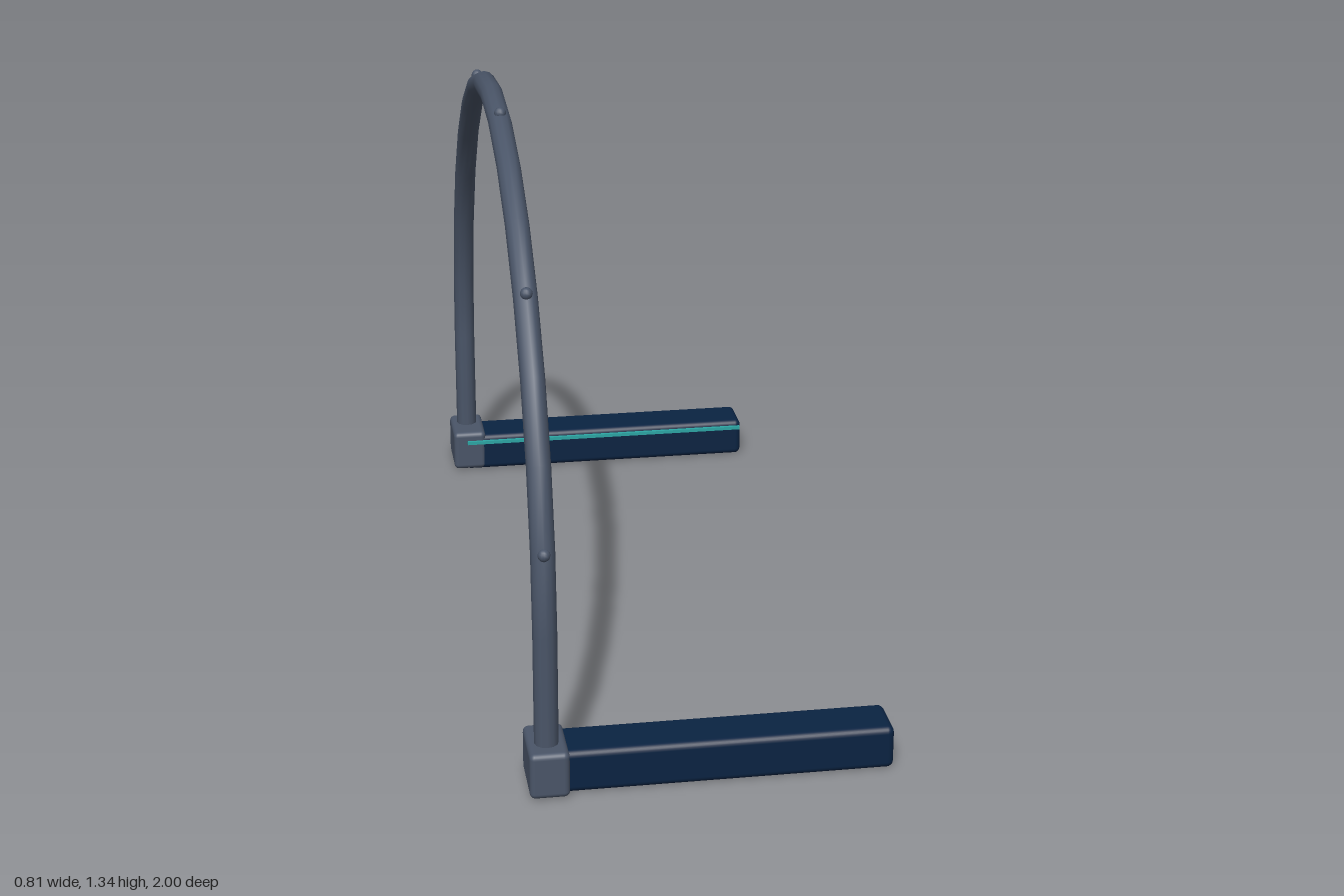
import * as THREE from 'three';
import { RoundedBoxGeometry } from 'three/addons/geometries/RoundedBoxGeometry.js';

const POST_X = -0.364; // plane of the arch
const ARC_R = 0.94;    // arch radius
const ARC_Y = 0.37;    // height where the straight legs meet the arc
const STEPS = 16;      // segments in the half circle

// Half circle on two straight legs, one tube segment per leg
class ArchCurve extends THREE.Curve {
  getUtoTmapping(u) { return u; }
  getPoint(t, target = new THREE.Vector3()) {
    const s = t * (STEPS + 2) - 1;
    if (s < 0) return target.set(POST_X, ARC_Y + s * 0.31, ARC_R);
    if (s > STEPS) return target.set(POST_X, ARC_Y - (s - STEPS) * 0.31, -ARC_R);
    const a = (s / STEPS) * Math.PI;
    return target.set(POST_X, ARC_Y + Math.sin(a) * ARC_R, Math.cos(a) * ARC_R);
  }
}

export function createModel() {
  const model = new THREE.Group();
  model.name = 'archStand';

  const steel = new THREE.MeshStandardMaterial({ color: 0x4a5568 });
  steel.name = 'slate grey';
  const navy = new THREE.MeshStandardMaterial({ color: 0x0a2342 });
  navy.name = 'navy';
  const teal = new THREE.MeshStandardMaterial({ color: 0x2ca6a4 });
  teal.name = 'teal';

  const add = (name, geometry, material, x, y, z) => {
    const mesh = new THREE.Mesh(geometry, material);
    mesh.name = name;
    mesh.position.set(x, y, z);
    model.add(mesh);
  };

  // Arch tube
  add('archTube', new THREE.TubeGeometry(new ArchCurve(), STEPS + 2, 0.027, 12, false), steel, 0, 0, 0);

  // Studs along the outside of the arch
  const studGeometry = new THREE.SphereGeometry(0.014, 12, 8);
  for (let i = 0; i < 5; i++) {
    const a = ((1 + i * 3) / STEPS) * Math.PI;
    add('stud' + (i + 1), studGeometry, steel,
      POST_X, ARC_Y + Math.sin(a) * 0.965, Math.cos(a) * 0.965);
  }

  // Feet: corner block, long bar and light strip on the inner face
  const blockGeometry = new RoundedBoxGeometry(0.088, 0.108, 0.15, 3, 0.013);
  const barGeometry = new RoundedBoxGeometry(0.78, 0.1, 0.122, 3, 0.015);
  const stripGeometry = new THREE.BoxGeometry(0.77, 0.009, 0.009);
  for (const side of [1, -1]) {
    const label = side > 0 ? 'front' : 'back';
    add(label + 'Block', blockGeometry, steel, -0.363, 0.057, side * 0.925);
    add(label + 'Bar', barGeometry, navy, 0.015, 0.05, side * 0.914);
    add(label + 'Strip', stripGeometry, teal, 0.015, 0.083, side * 0.847);
  }

  return model;
}
